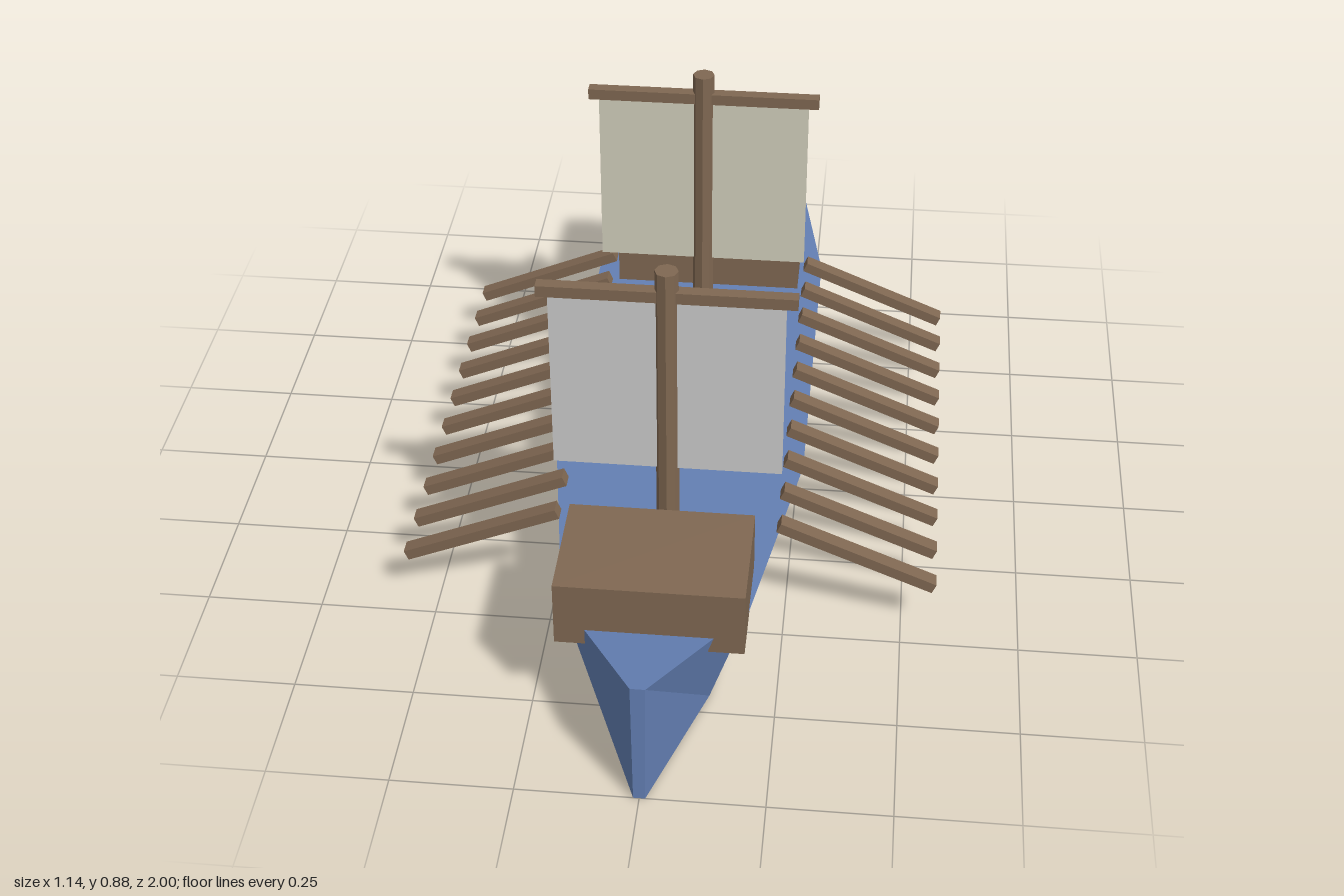
import * as THREE from 'three';

const mat = (color, side = THREE.FrontSide) => new THREE.MeshStandardMaterial({ color, side, flatShading: true });

// Hull lofted through four-cornered sections: [z, deck half width, keel half width, deck height]
function hullGeometry() {
  const sections = [
    [-1, 0.2, 0.12, 0.22],
    [-0.6, 0.272, 0.163, 0.22],
    [0.2, 0.272, 0.163, 0.22],
    [0.7, 0.19, 0.112, 0.236],
    [1, 0.015, 0.012, 0.292],
  ];
  const pos = [], index = [];
  for (const [z, top, bottom, y] of sections) {
    pos.push(-bottom, 0, z, bottom, 0, z, top, y, z, -top, y, z);
  }
  const quad = (a, b, c, d) => index.push(a, b, c, a, c, d);
  for (let s = 0; s < sections.length - 1; s++) {
    for (let k = 0; k < 4; k++) {
      const a = s * 4 + k, b = s * 4 + (k + 1) % 4;
      quad(a, b, b + 4, a + 4);
    }
  }
  const e = (sections.length - 1) * 4;
  quad(3, 2, 1, 0); // stern
  quad(e, e + 1, e + 2, e + 3); // bow
  const g = new THREE.BufferGeometry();
  g.setAttribute('position', new THREE.Float32BufferAttribute(pos, 3));
  g.setIndex(index);
  const flat = g.toNonIndexed();
  flat.computeVertexNormals();
  return flat;
}

export function createModel() {
  const ship = new THREE.Group();
  ship.name = 'galley';
  const blue = mat(0x6480b4), wood = mat(0x806852);

  const add = (parent, name, geometry, material, x, y, z) => {
    const mesh = new THREE.Mesh(geometry, material);
    mesh.name = name;
    mesh.position.set(x, y, z);
    parent.add(mesh);
    return mesh;
  };
  const box = (w, h, d) => new THREE.BoxGeometry(w, h, d);

  add(ship, 'hull', hullGeometry(), blue, 0, 0, 0);

  // Deck cabins
  add(ship, 'foreCabin', box(0.38, 0.145, 0.255), wood, 0, 0.2925, 0.678);
  add(ship, 'sternCabin', box(0.436, 0.18, 0.36), wood, 0, 0.308, -0.682);

  // Masts, each with a yard and a square sail
  const rigs = [['foreRig', 0.44, 0xcccccc], ['mainRig', -0.36, 0xd2cfbc]];
  for (const [name, z, color] of rigs) {
    const rig = new THREE.Group();
    rig.name = name;
    rig.position.z = z;
    add(rig, 'mast', new THREE.CylinderGeometry(0.024, 0.024, 0.657, 8), wood, 0, 0.5465, 0);
    add(rig, 'yard', box(0.52, 0.025, 0.026), wood, 0, 0.818, 0);
    add(rig, 'sail', box(0.474, 0.413, 0.014), mat(color), 0, 0.6, 0);
    ship.add(rig);
  }

  // Ten sloping oars on each side
  const oarShape = box(0.36, 0.024, 0.033);
  const slope = Math.atan2(0.137, 0.325);
  for (const side of [1, -1]) {
    const bank = new THREE.Group();
    bank.name = side > 0 ? 'leftOars' : 'rightOars';
    for (let i = 0; i < 10; i++) {
      const oar = add(bank, 'oar', oarShape, wood, side * 0.4, 0.184, 0.437 - i * 0.111);
      oar.rotation.z = -side * slope;
    }
    ship.add(bank);
  }
  return ship;
}
